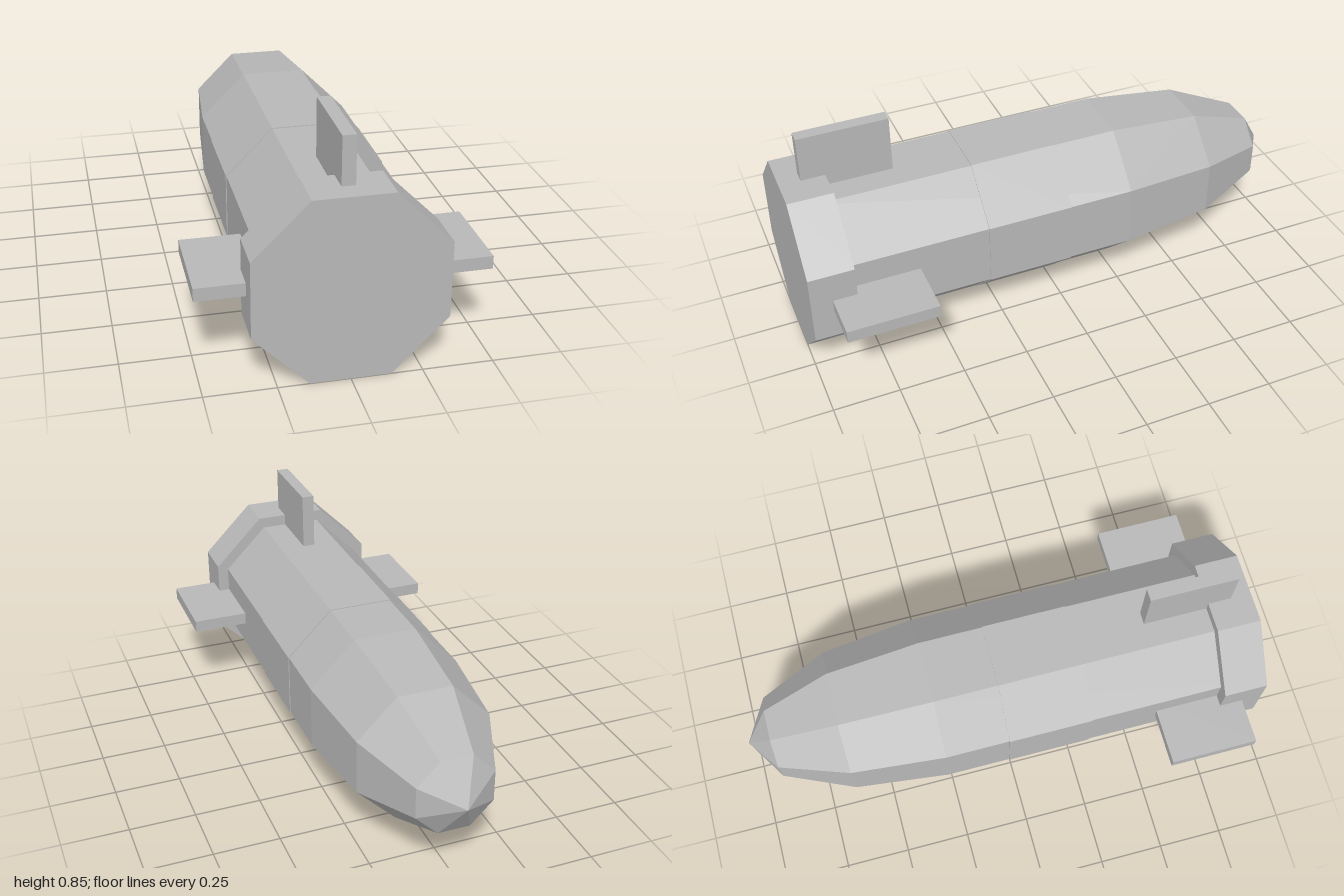
import * as THREE from 'three';

const CENTRE_Y = 0.337;
const OCT = Math.cos(Math.PI / 8); // flat-to-corner ratio of an octagon

export function createModel() {
  const model = new THREE.Group();
  model.name = 'podShip';
  const grey = new THREE.MeshStandardMaterial({ color: 0xb8b8b8, flatShading: true });
  grey.name = 'hull grey';

  const add = (name, geometry, x = 0, y = CENTRE_Y, z = 0) => {
    const mesh = new THREE.Mesh(geometry, grey);
    mesh.name = name;
    mesh.position.set(x, y, z);
    model.add(mesh);
  };

  // Eight-sided prism along z, flats facing up, down and sideways
  const prism = (name, apothem, z0, z1) => {
    const r = apothem / OCT;
    const g = new THREE.CylinderGeometry(r, r, z1 - z0, 8);
    g.rotateY(Math.PI / 8).rotateX(Math.PI / 2);
    add(name, g, 0, CENTRE_Y, (z0 + z1) / 2);
  };

  prism('hull', 0.293, -0.27, 0.9);
  prism('middleBand', 0.296, -0.02, 0.31);
  prism('tailCollar', 0.337, 0.83, 1);

  // Half-ellipsoid nose cone: three rings closing to a point at -z
  const profile = [];
  for (let i = 0; i <= 3; i++) {
    const a = (i * Math.PI) / 6;
    profile.push(new THREE.Vector2((0.293 / OCT) * Math.cos(a), 0.73 * Math.sin(a)));
  }
  profile[3].x = 0;
  const nose = new THREE.LatheGeometry(profile, 8, Math.PI / 8);
  nose.rotateX(-Math.PI / 2);
  add('nose', nose, 0, CENTRE_Y, -0.27);

  // Side fins and top fin, rooted inside the hull
  for (const [name, side] of [['leftFin', 1], ['rightFin', -1]]) {
    add(name, new THREE.BoxGeometry(0.26, 0.048, 0.34), side * 0.38, CENTRE_Y, 0.75);
  }
  add('topFin', new THREE.BoxGeometry(0.048, 0.26, 0.34), 0, 0.72, 0.75);

  return model;
}
